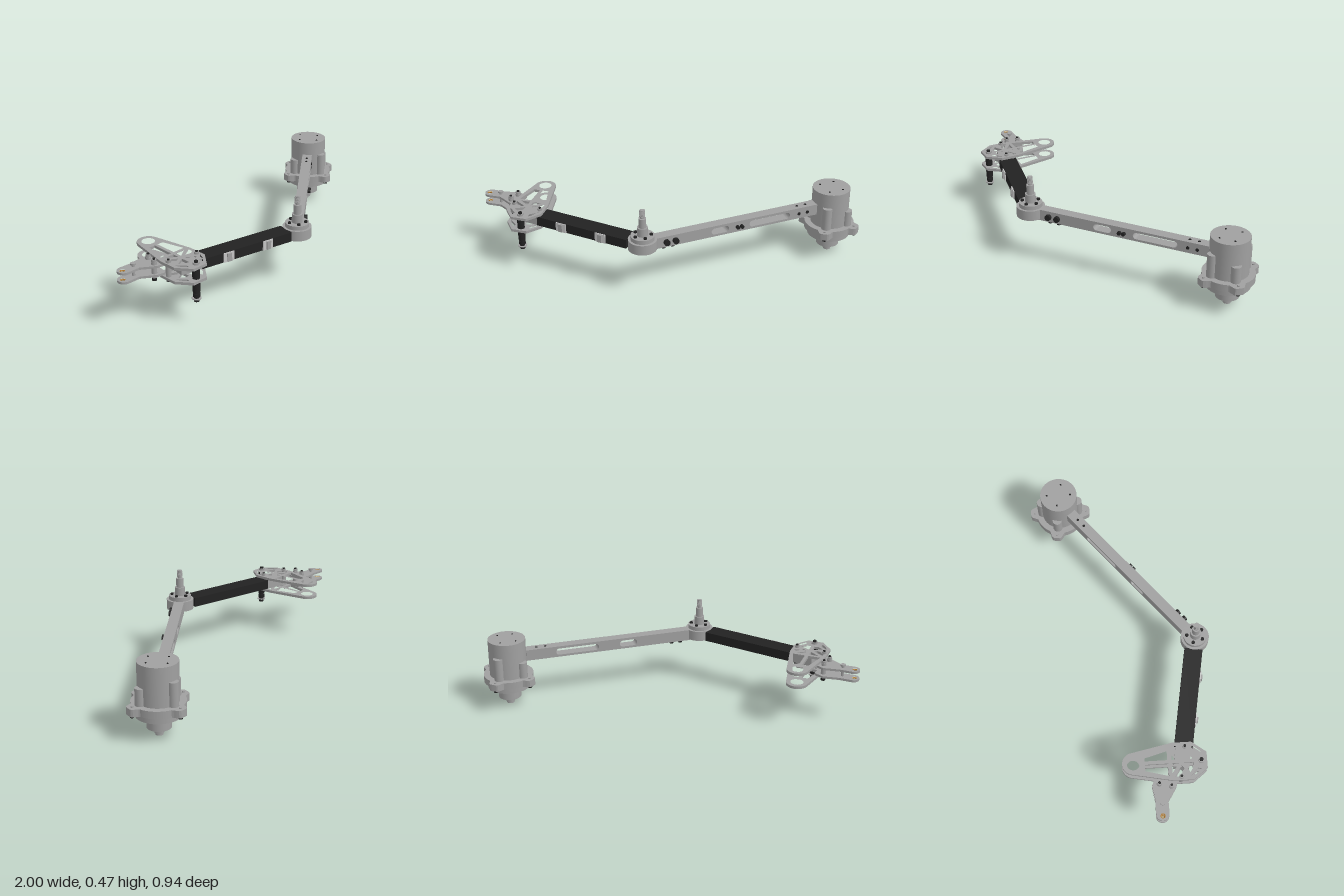
import * as THREE from 'three';

const mat = (name, color) => Object.assign(new THREE.MeshStandardMaterial({ color }), { name });
const grey = mat('machined grey', 0xa0a0a0);
const pale = mat('pale metal', 0xc4c4c4);
const black = mat('black', 0x222222);
const brass = mat('brass', 0xb07a30);

function add(parent, name, geo, material, x = 0, y = 0, z = 0) {
  const m = new THREE.Mesh(geo, material);
  m.name = name;
  m.position.set(x, y, z);
  parent.add(m);
  return m;
}

// vertical cylinder from y0 to y1
const rod = (parent, name, material, x, z, r, y0, y1, sides = 32, rTop = r) =>
  add(parent, name, new THREE.CylinderGeometry(rTop, r, y1 - y0, sides), material, x, (y0 + y1) / 2, z);

// box given by its limits in x, y and z
const block = (parent, name, material, x0, x1, y0, y1, z0, z1) =>
  add(parent, name, new THREE.BoxGeometry(x1 - x0, y1 - y0, z1 - z0), material,
    (x0 + x1) / 2, (y0 + y1) / 2, (z0 + z1) / 2);

// horizontal plate from points [x, z], with holes
function plate(parent, name, material, points, holes, y0, y1) {
  const toShape = (pts, C) => new C(pts.map(([x, z]) => new THREE.Vector2(x, -z)));
  const shape = toShape(points, THREE.Shape);
  shape.holes = holes.map((h) => toShape(h, THREE.Path));
  const geo = new THREE.ExtrudeGeometry(shape, { depth: y1 - y0, bevelEnabled: false });
  geo.rotateX(-Math.PI / 2);
  return add(parent, name, geo, material, 0, y0, 0);
}

// arc of [x, z] points
function arc(cx, cz, r, a0, a1, n = 16) {
  return Array.from({ length: n + 1 }, (_, i) => {
    const a = a0 + ((a1 - a0) * i) / n;
    return [cx + r * Math.cos(a), cz + r * Math.sin(a)];
  });
}
const circle = (cx, cz, r, n = 24) => arc(cx, cz, r, 0, 2 * Math.PI * (1 - 1 / n), n - 1);

function makeMotor() {
  const g = new THREE.Group();
  g.name = 'motor';
  g.position.set(0.83, 0, -0.303);
  const lobes = [1.34, 2.94, 4.71, 6.05].map((a, i) => [0.23, Math.PI / 2, 3.31, 4.71][i]);

  rod(g, 'motorCan', grey, 0, 0, 0.101, 0.17, 0.381, 48);
  rod(g, 'lowerRing', grey, 0, 0, 0.115, 0.105, 0.145, 48);
  rod(g, 'neckFillet', grey, 0, 0, 0.062, 0.088, 0.106, 40, 0.082);
  rod(g, 'neck', grey, 0, 0, 0.061, 0.04, 0.105, 40);
  rod(g, 'outputWasher', black, 0, 0, 0.03, 0.03, 0.04, 24);
  rod(g, 'outputNut', grey, 0, 0, 0.024, 0.008, 0.03, 6);
  rod(g, 'outputTip', grey, 0, 0, 0.02, 0, 0.03, 20);

  // flange with four rounded ears
  const rim = Array.from({ length: 120 }, (_, i) => {
    const a = (i / 120) * 2 * Math.PI;
    let bump = 0;
    for (const l of lobes) {
      const d = Math.abs(Math.atan2(Math.sin(a - l), Math.cos(a - l)));
      bump = Math.max(bump, 1 - THREE.MathUtils.smoothstep(d, 0.11, 0.33));
    }
    const r = 0.134 + 0.033 * bump;
    return [r * Math.cos(a), r * Math.sin(a)];
  });
  plate(g, 'flange', grey, rim, [], 0.14, 0.178);

  for (const a of lobes) {
    const c = Math.cos(a), s = Math.sin(a);
    rod(g, 'sideBoss', grey, c * 0.1, s * 0.1, 0.026, 0.17, Math.abs(s) > 0.8 ? 0.302 : 0.265, 20);
    rod(g, 'flangeBolt', black, c * 0.145, s * 0.145, 0.011, 0.126, 0.14, 12);
    rod(g, 'flangeBoltTip', grey, c * 0.145, s * 0.145, 0.007, 0.178, 0.184, 12);
    rod(g, 'capScrew', black, c * 0.065, s * 0.065, 0.005, 0.38, 0.383, 10);
  }
  return g;
}

function makePivot() {
  const g = new THREE.Group();
  g.name = 'pivot';
  g.position.set(-0.022, 0, 0.39);
  rod(g, 'pivotHub', grey, 0, 0, 0.075, 0.253, 0.308, 48);
  rod(g, 'pivotCap', grey, 0, 0, 0.062, 0.308, 0.33, 40);
  rod(g, 'shaftBase', grey, 0, 0, 0.028, 0.33, 0.377);
  rod(g, 'shaft', grey, 0, 0, 0.02, 0.377, 0.428);
  rod(g, 'threadCore', grey, 0, 0, 0.011, 0.428, 0.475, 20);
  for (let i = 0; i < 6; i++) rod(g, 'thread', grey, 0, 0, 0.015, 0.437 + i * 0.0065, 0.441 + i * 0.0065, 20);
  for (let i = 0; i < 5; i++) {
    const a = Math.PI / 2 + ((i + 0.5) * 2 * Math.PI) / 5;
    rod(g, 'capBolt', black, Math.cos(a) * 0.045, Math.sin(a) * 0.045, 0.009, 0.33, 0.338, 12);
  }
  return g;
}

// slotted grey arm, running along local +x from the pivot
function makeSlottedArm() {
  const g = new THREE.Group();
  g.name = 'slottedArm';
  g.position.set(-0.022, 0, 0.39);
  g.rotation.y = 0.683;
  const w = 0.056, y0 = 0.247, y1 = 0.308;
  const side = new THREE.Shape([[0.06, y0], [1.0, y0], [1.0, y1], [0.06, y1]].map((p) => new THREE.Vector2(...p)));
  const slot = (a, b, r) => {
    const p = new THREE.Path();
    p.absarc(b - r, 0.277, r, -Math.PI / 2, Math.PI / 2);
    p.absarc(a + r, 0.277, r, Math.PI / 2, Math.PI * 1.5);
    p.closePath();
    return p;
  };
  side.holes.push(slot(0.375, 0.475, 0.018), slot(0.595, 0.835, 0.018));
  add(g, 'armBar', new THREE.ExtrudeGeometry(side, { depth: w, bevelEnabled: false }), grey, 0, 0, -w / 2);

  const sideBolt = (t, y, r, material, len = 0.014) => {
    const m = add(g, 'sideBolt', new THREE.CylinderGeometry(r, r, len, 14), material, t, y, w / 2 + len / 2);
    m.rotation.x = Math.PI / 2;
  };
  for (const t of [0.12, 0.17]) {
    sideBolt(t, 0.277, 0.016, black, 0.018);
    rod(g, 'bottomBolt', black, t - 0.005, 0, 0.011, 0.23, y0, 12);
  }
  for (const t of [0.523, 0.547]) sideBolt(t, 0.277, 0.01, black, 0.016);
  for (const t of [0.89, 0.94]) {
    sideBolt(t, 0.275, 0.009, black, 0.003);
    rod(g, 'topScrew', black, t, 0, 0.007, y1, y1 + 0.002, 12);
  }
  return g;
}

// black tube arm, running along local -x from the pivot
function makeTubeArm() {
  const g = new THREE.Group();
  g.name = 'tubeArm';
  g.position.set(-0.022, 0, 0.39);
  g.rotation.y = -0.18;
  block(g, 'tube', black, -0.605, -0.07, 0.256, 0.307, -0.048, 0.048);
  block(g, 'tubeInsert', grey, -0.72, -0.6, 0.252, 0.31, -0.04, 0.04);
  for (const x of [-0.455, -0.22]) {
    block(g, 'sidePlate', pale, x - 0.03, x + 0.03, 0.257, 0.306, 0.048, 0.054);
    block(g, 'sideClip', grey, x - 0.012, x + 0.012, 0.26, 0.303, 0.054, 0.062);
  }
  return g;
}

function makeBracket() {
  const g = new THREE.Group();
  g.name = 'endBracket';
  const cx = -0.702;
  // truss plate: ring at the back, wide foot at the front
  const outline = [
    ...arc(cx, 0.015, 0.057, Math.PI * 1.04, Math.PI * 1.96),
    [-0.603, 0.22], [-0.603, 0.32], [-0.66, 0.395], [-0.744, 0.395], [-0.801, 0.32], [-0.801, 0.22],
  ];
  const half = [
    [[0.009, 0.075], [0.042, 0.075], [0.074, 0.195], [0.009, 0.195]],
    [[0.009, 0.213], [0.06, 0.213], [0.009, 0.25]],
    [[0.022, 0.262], [0.08, 0.225], [0.08, 0.25], [0.04, 0.275]],
    [[0.009, 0.275], [0.06, 0.305], [0.03, 0.325], [0.009, 0.325]],
    [[0.04, 0.345], [0.082, 0.305], [0.07, 0.335], [0.045, 0.365]],
  ];
  const holes = [circle(cx, 0.015, 0.034)];
  for (const s of [-1, 1]) for (const h of half) holes.push(h.map(([x, z]) => [cx + s * x, z]));
  plate(g, 'topPlate', grey, outline, holes, 0.31, 0.324);
  plate(g, 'bottomPlate', grey, outline, holes, 0.236, 0.25);

  // forked lug pointing outward
  const lug = [
    ...arc(-0.966, 0.149, 0.034, Math.PI * 0.5, Math.PI * 1.5),
    [-0.9, 0.118], [-0.815, 0.105], [-0.765, 0.13], [-0.775, 0.235], [-0.825, 0.23], [-0.9, 0.182],
  ];
  for (const y of [0.25, 0.298]) {
    plate(g, 'forkLug', grey, lug, [circle(-0.975, 0.149, 0.013)], y, y + 0.012);
    const bush = add(g, 'lugBushing', new THREE.TorusGeometry(0.012, 0.004, 8, 20), brass, -0.975, y + 0.006, 0.149);
    bush.rotation.x = Math.PI / 2;
  }

  // through bolts with spacers
  for (const [x, z] of [[-0.81, 0.142], [-0.825, 0.203], [-0.782, 0.258], [-0.625, 0.285]]) {
    rod(g, 'spacer', grey, x, z, 0.014, 0.24, 0.324, 16);
    rod(g, 'boltNut', grey, x, z, 0.013, 0.324, 0.336, 6);
    rod(g, 'boltTip', black, x, z, 0.007, 0.336, 0.341, 12);
    rod(g, 'boltHead', black, x, z, 0.012, 0.224, 0.24, 14);
  }
  rod(g, 'lugPin', grey, -0.91, 0.151, 0.008, 0.246, 0.325, 12);
  rod(g, 'lugPinHead', grey, -0.91, 0.151, 0.014, 0.32, 0.328, 12);

  // hanging black post
  const px = -0.702, pz = 0.365;
  rod(g, 'post', black, px, pz, 0.019, 0.18, 0.31, 24);
  rod(g, 'postLower', black, px, pz, 0.014, 0.14, 0.18, 24);
  rod(g, 'postCollar', black, px, pz, 0.018, 0.152, 0.17, 24);
  rod(g, 'postWasher', grey, px, pz, 0.024, 0.14, 0.144, 24);
  rod(g, 'postFoot', black, px, pz, 0.014, 0.125, 0.14, 20);
  rod(g, 'postNut', grey, px, pz, 0.017, 0.324, 0.335, 6);
  rod(g, 'postTip', black, px, pz, 0.01, 0.335, 0.343, 16);
  return g;
}

export function createModel() {
  const model = new THREE.Group();
  model.name = 'jointedArm';
  model.add(makeMotor(), makeSlottedArm(), makePivot(), makeTubeArm(), makeBracket());
  return model;
}
